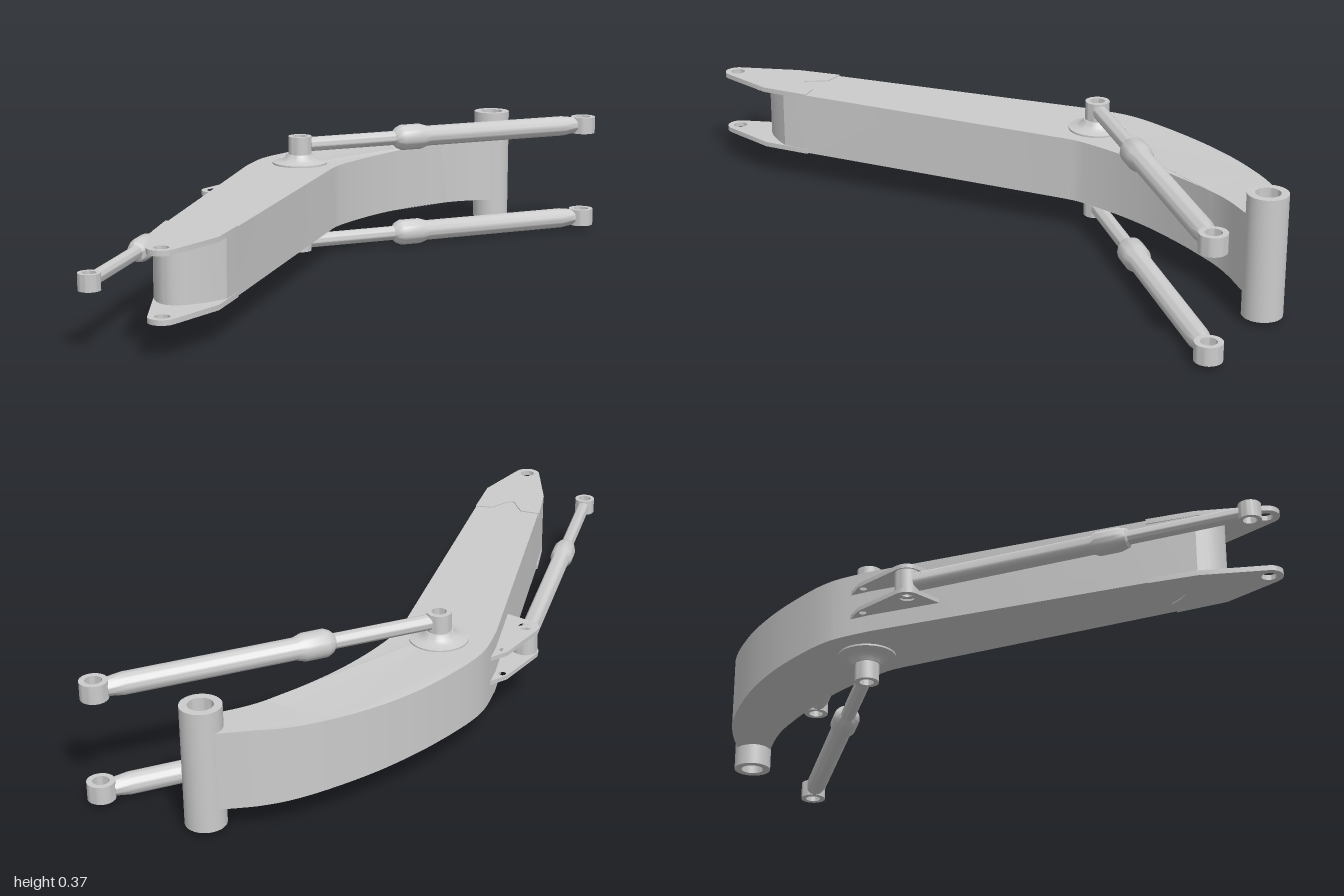
import * as THREE from 'three';
import { toCreasedNormals } from 'three/addons/utils/BufferGeometryUtils.js';

const MID = 0.187; // height of the horizontal mirror plane
const material = new THREE.MeshStandardMaterial({ color: 0xcccccc });
const V = (x, z) => new THREE.Vector2(x, z);

function mesh(name, geometry, crease = 0.6) {
  const m = new THREE.Mesh(toCreasedNormals(geometry, crease), material);
  m.name = name;
  return m;
}

function addHole(shape, x, z, r) {
  shape.holes.push(new THREE.Path().absarc(x, z, r, 0, Math.PI * 2, true));
}

// Plan outline in (x, z) extruded between two heights
function slab(shape, y0, y1) {
  return new THREE.ExtrudeGeometry(shape, { depth: y1 - y0, bevelEnabled: false, curveSegments: 16 })
    .rotateX(Math.PI / 2).translate(0, y1, 0);
}

// Upright ring with a through hole, centred on y = 0
function ring(name, r, hole, h) {
  const s = new THREE.Shape().absarc(0, 0, r, 0, Math.PI * 2, false);
  addHole(s, 0, 0, hole);
  return mesh(name, slab(s, -h / 2, h / 2));
}

function lathe(name, points) {
  return mesh(name, new THREE.LatheGeometry(points.map(p => V(...p)), 32));
}

// Hydraulic cylinder from a to b, with an eye at each end and a turned body
function hydraulic(name, a, b, y, eyeA, eyeB, profile) {
  const g = new THREE.Group();
  g.name = name;
  const dir = new THREE.Vector3(b.x - a.x, 0, b.y - a.y);
  const length = dir.length();
  const body = lathe('cylinderBody', profile(length));
  body.quaternion.setFromUnitVectors(new THREE.Vector3(0, 1, 0), dir.normalize());
  const start = ring('startEye', ...eyeA);
  const end = ring('endEye', ...eyeB);
  end.position.set(b.x - a.x, 0, b.y - a.y);
  g.add(body, start, end);
  g.position.set(a.x, y, a.y);
  return g;
}

export function createModel() {
  const model = new THREE.Group();
  model.name = 'diggerBoom';
  const pivot = V(-0.222, -0.222);
  const foot = V(0.055, -0.94);

  // Bent box beam, flaring in height toward the foot tube
  const beam = new THREE.Shape();
  beam.moveTo(0.02, -0.97);
  beam.splineThru([V(-0.127, -0.847), V(-0.233, -0.688), V(-0.302, -0.529),
    V(-0.344, -0.37), V(-0.36, -0.238), V(-0.339, -0.116)]);
  beam.lineTo(-0.106, 0.635);
  beam.lineTo(-0.063, 0.767);
  beam.quadraticCurveTo(0.03, 0.88, 0.1, 0.68);
  beam.lineTo(0.085, 0.603);
  beam.lineTo(-0.1, -0.2);
  beam.splineThru([V(-0.106, -0.26), V(-0.095, -0.397), V(-0.063, -0.556),
    V(0.005, -0.767), V(0.085, -0.9)]);
  beam.lineTo(0.055, -0.89);
  beam.lineTo(0.015, -0.94);
  beam.closePath();
  addHole(beam, pivot.x, pivot.y, 0.02);
  const beamGeometry = slab(beam, MID - 0.09, MID + 0.09);
  const p = beamGeometry.attributes.position;
  for (let i = 0; i < p.count; i++) {
    const t = THREE.MathUtils.clamp((-0.4 - p.getZ(i)) / 0.5, 0, 1);
    p.setY(i, MID + (p.getY(i) - MID) * (1 + 0.2 * t * t));
  }
  model.add(mesh('beam', beamGeometry, 0.4));

  // Hollow foot tube
  const tube = ring('footTube', 0.054, 0.033, 0.335);
  tube.position.set(foot.x, MID, foot.y);
  model.add(tube);

  // Fork plates with a notched seam
  const fork = new THREE.Shape();
  fork.moveTo(-0.107, 0.643);
  fork.lineTo(-0.05, 0.635);
  fork.splineThru([V(-0.025, 0.66), V(0, 0.685), V(0.02, 0.665), V(0.037, 0.619)]);
  fork.lineTo(0.086, 0.603);
  fork.lineTo(0.116, 0.741);
  fork.lineTo(0.095, 0.91);
  fork.absarc(0.058, 0.905, 0.037, 0.1, 2.7, false);
  fork.lineTo(-0.064, 0.767);
  fork.closePath();
  addHole(fork, 0.058, 0.905, 0.02);

  // Ears on the back of the beam
  const ear = new THREE.Shape();
  ear.moveTo(-0.34, -0.19);
  ear.lineTo(-0.376, -0.12);
  ear.lineTo(-0.391, 0.03);
  ear.absarc(-0.354, 0.037, 0.037, Math.PI, Math.PI / 2, true);
  ear.lineTo(-0.27, 0.085);
  ear.lineTo(-0.25, 0.03);
  ear.lineTo(-0.31, -0.15);
  ear.closePath();
  addHole(ear, -0.354, 0.037, 0.02);
  addHole(ear, -0.36, -0.116, 0.01);

  // Main hydraulic: slim rod, collar, thick barrel
  const mainProfile = L => [[0, 0.028], [0.021, 0.028], [0.021, 0.3], [0.031, 0.31], [0.038, 0.325],
    [0.038, 0.385], [0.03, 0.41], [0.03, L - 0.075], [0.024, L - 0.03], [0, L - 0.03]];
  // Turned pivot flange
  const flange = [[0.02, 0], [0.08, 0], [0.08, 0.006], [0.058, 0.01], [0.045, 0.017],
    [0.038, 0.03], [0.02, 0.03], [0.02, 0]];

  // Parts mirrored above and below
  for (const side of [1, -1]) {
    const tag = side > 0 ? 'upper' : 'lower';
    const plate = (name, shape, inner, outer) => model.add(mesh(tag + name,
      slab(shape, MID + Math.min(side * inner, side * outer), MID + Math.max(side * inner, side * outer))));
    plate('ForkPlate', fork, 0.079, 0.093);
    plate('Ear', ear, 0.03, 0.042);

    const boss = lathe(tag + 'PivotFlange', flange);
    boss.position.set(pivot.x, MID + side * 0.089, pivot.y);
    if (side < 0) boss.rotation.x = Math.PI;
    model.add(boss);

    model.add(hydraulic(tag + 'BoomHydraulic', pivot, V(0.354, -0.968), MID + side * 0.145,
      [0.034, 0.02, 0.052], [0.037, 0.022, 0.05], mainProfile));
  }

  // Centre hydraulic: barrel at the ears, slim rod toward the front
  model.add(hydraulic('armHydraulic', V(-0.354, 0.037), V(-0.116, 0.963), MID,
    [0.034, 0.02, 0.058], [0.029, 0.018, 0.044],
    L => [[0, 0.028], [0.025, 0.028], [0.025, 0.535], [0.032, 0.55], [0.032, 0.605],
      [0.026, 0.63], [0.018, 0.635], [0.018, L - 0.024], [0, L - 0.024]]));

  return model;
}
